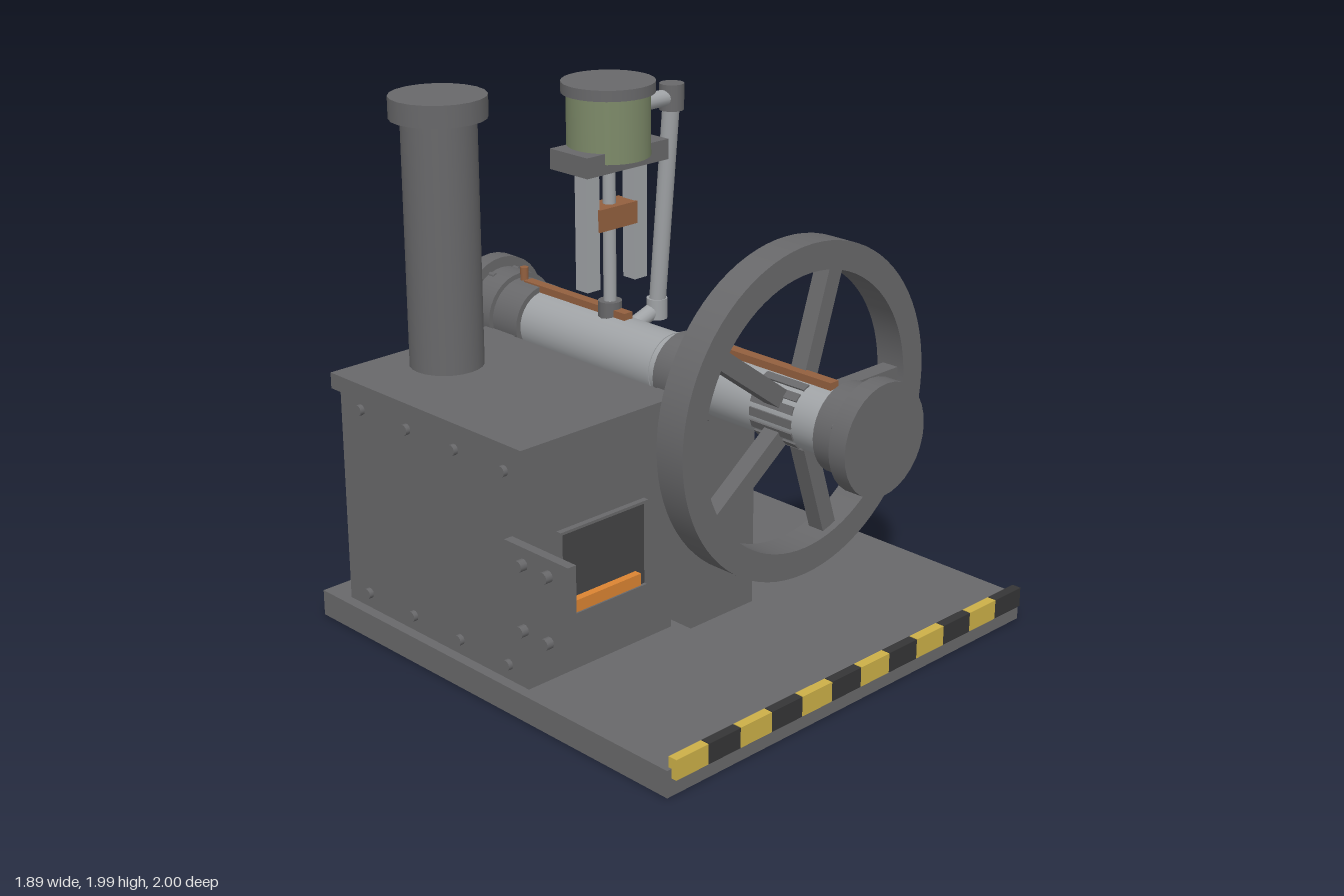
import * as THREE from 'three';

const mat = (name, color, side = THREE.FrontSide) => {
  const m = new THREE.MeshStandardMaterial({ color, side });
  m.name = name;
  return m;
};

export function createModel() {
  const iron = mat('iron', 0x68686a);
  const steel = mat('steel', 0xa0a3a6);
  const copper = mat('copper', 0x93603f);
  const green = mat('greenPaint', 0x7d8a69);
  const yellow = mat('yellowPaint', 0xccb048);
  const black = mat('blackPaint', 0x353536);
  const soot = mat('soot', 0x444445);
  const ember = mat('ember', 0xdb8432);

  const model = new THREE.Group();
  model.name = 'steamEngine';
  const add = (name, geo, material) => {
    const m = new THREE.Mesh(geo, material);
    m.name = name;
    model.add(m);
    return m;
  };
  // Box given by its minimum and maximum on each axis
  const box = (name, material, x0, x1, y0, y1, z0, z1) => {
    const m = add(name, new THREE.BoxGeometry(x1 - x0, y1 - y0, z1 - z0), material);
    m.position.set((x0 + x1) / 2, (y0 + y1) / 2, (z0 + z1) / 2);
    return m;
  };
  // Cylinder between two points
  const rod = (name, material, a, b, r, sides = 32) => {
    const p = new THREE.Vector3(...a), q = new THREE.Vector3(...b);
    const m = add(name, new THREE.CylinderGeometry(r, r, p.distanceTo(q), sides), material);
    m.position.copy(p).add(q).multiplyScalar(0.5);
    m.quaternion.setFromUnitVectors(new THREE.Vector3(0, 1, 0), q.sub(p).normalize());
    return m;
  };

  const cx = 0.028, cy = 1;                       // shaft axis
  const along = (name, material, z0, z1, r) => rod(name, material, [cx, cy, z0], [cx, cy, z1], r);

  // Base plate with hazard strip
  box('basePlate', iron, -0.89, 0.94, 0, 0.1, -0.92, 0.915);
  for (let i = 0; i < 12; i++) {
    const x = -0.87 + i * 0.1495;
    box('hazardBlock', i % 2 ? black : yellow, x, x + 0.146, 0.065, 0.14, 0.9, 0.936);
  }

  // Boiler box, lid and rivets
  box('boilerBody', iron, -0.85, -0.17, 0.1, 0.94, -0.8, 0.2);
  box('boilerLid', iron, -0.875, -0.152, 0.93, 0.99, -0.82, 0.215);
  for (const y of [0.16, 0.88])
    for (const z of [-0.68, -0.42, -0.16, 0.1])
      rod('rivet', iron, [-0.84, y, z], [-0.868, y, z], 0.02, 10);

  // Fire opening, embers and open door
  box('fireOpening', soot, -0.71, -0.307, 0.32, 0.645, 0.2, 0.209);
  for (const [x0, x1, y0, y1] of [[-0.713, -0.705, 0.32, 0.645], [-0.312, -0.304, 0.32, 0.645],
    [-0.713, -0.304, 0.637, 0.647], [-0.713, -0.304, 0.317, 0.325]])
    box('openingFrame', iron, x0, x1, y0, y1, 0.2, 0.222);
  box('embers', ember, -0.67, -0.355, 0.34, 0.385, 0.2, 0.238);
  box('fireDoor', iron, -0.925, -0.89, 0.325, 0.68, 0.18, 0.495);
  for (const y of [0.38, 0.62])
    for (const z of [0.275, 0.4])
      rod('doorStud', iron, [-0.92, y, z], [-0.953, y, z], 0.021, 10);

  // Chimney
  rod('chimney', iron, [-0.515, 0.98, -0.605], [-0.515, 1.92, -0.605], 0.136, 24);
  rod('chimneyCap', iron, [-0.515, 1.9, -0.605], [-0.515, 1.98, -0.605], 0.175, 20);

  // Shaft, bearings and pedestals
  along('shaft', steel, -0.95, 0.95, 0.12);
  along('shaftSeam', steel, -0.005, 0.005, 0.123);
  along('frontBearing', iron, 0.047, 0.27, 0.141);
  along('rearBearing', iron, -0.84, -0.69, 0.141);
  box('frontPedestal', iron, -0.132, 0.188, 0.1, 0.9, 0.06, 0.262);
  box('rearPedestal', iron, -0.132, 0.188, 0.1, 0.9, -0.9, -0.7);
  for (const [z0, z1] of [[0.07, 0.255], [-0.83, -0.705]])
    box('bearingBlock', iron, cx - 0.145, cx + 0.145, 0.87, 0.97, z0, z1);
  for (const s of [-1, 1]) {
    along('endCollar', iron, s * 0.825, s * 0.94, 0.16);
    along('endDisc', iron, s * 0.93, s, 0.2);
    for (let i = 0; i < 8; i++) {
      const a = (i + 0.5) * Math.PI / 4;
      const x = cx + Math.cos(a) * 0.155, y = cy + Math.sin(a) * 0.155;
      rod('collarBolt', iron, [x, y, s * 0.9], [x, y, s * 0.935], 0.011, 8);
    }
  }

  // Flywheel rim, spokes and ribbed hub
  const ring = new THREE.Shape().absarc(0, 0, 0.6, 0, Math.PI * 2);
  ring.holes.push(new THREE.Path().absarc(0, 0, 0.5, 0, Math.PI * 2, true));
  // Smooth the curved walls while the two faces stay flat
  const rimGeo = new THREE.ExtrudeGeometry(ring, { depth: 0.12, bevelEnabled: false, curveSegments: 40 });
  const pos = rimGeo.attributes.position, nor = rimGeo.attributes.normal;
  for (let i = 0; i < pos.count; i++) {
    if (Math.abs(nor.getZ(i)) > 0.5) continue;
    const r = Math.hypot(pos.getX(i), pos.getY(i)), s = r > 0.55 ? 1 : -1;
    nor.setXYZ(i, s * pos.getX(i) / r, s * pos.getY(i) / r, 0);
  }
  add('flywheelRim', rimGeo, iron).position.set(cx, cy, 0.54);
  for (let i = 0; i < 5; i++) {
    const a = i * Math.PI * 0.4;
    const spoke = add('flywheelSpoke', new THREE.BoxGeometry(0.41, 0.066, 0.066), iron);
    spoke.position.set(cx + Math.cos(a) * 0.305, cy + Math.sin(a) * 0.305, 0.6);
    spoke.rotation.z = a;
  }
  for (let i = 0; i < 16; i++) {
    const a = i * Math.PI / 8;
    const rib = add('hubRib', new THREE.BoxGeometry(0.02, 0.03, 0.19), iron);
    rib.position.set(cx + Math.cos(a) * 0.115, cy + Math.sin(a) * 0.115, 0.597);
    rib.rotation.z = a;
  }

  // Copper oil lines and pins along the shaft
  box('frontOilLine', copper, 0.008, 0.048, 1.11, 1.145, 0.22, 0.775);
  box('rearOilLine', copper, 0.008, 0.048, 1.11, 1.145, -0.78, -0.225);
  for (const z of [0.16, -0.8])
    rod('oilPin', copper, [cx, 1.12, z], [cx, 1.19, z], 0.016, 12);

  // Steam cylinder on its mounting plate
  const cz = -0.322;
  rod('steamCylinder', green, [cx, 1.72, cz], [cx, 1.96, cz], 0.152);
  rod('cylinderCap', iron, [cx, 1.95, cz], [cx, 1.99, cz], 0.17);
  box('mountingPlate', iron, -0.17, 0.227, 1.685, 1.76, -0.415, -0.22);

  // Guides, piston rod, crosshead and crank nut
  for (const s of [-1, 1])
    box('guideBar', steel, cx + s * 0.117 - 0.031, cx + s * 0.117 + 0.031, 1.24, 1.69, -0.342, -0.28);
  rod('pistonRod', steel, [cx, 1.1, cz], [cx, 1.7, cz], 0.024, 16);
  box('crosshead', copper, -0.065, 0.12, 1.457, 1.54, -0.372, -0.27);
  rod('crankNut', iron, [cx, 1.09, cz], [cx, 1.172, cz], 0.045, 12);

  // Valve linkage
  const top = [0.343, 1.88, cz], low = [0.343, 1.05, -0.4];
  rod('valveArm', steel, [0.15, 1.88, cz], top, 0.031, 16);
  rod('valveJoint', iron, [0.343, 1.832, cz], [0.343, 1.93, cz], 0.046, 16);
  rod('valveRod', steel, top, low, 0.032, 16);
  rod('lowerJoint', steel, [0.343, 1.01, -0.4], [0.343, 1.09, -0.4], 0.04, 16);
  rod('rockerRod', steel, low, [-0.15, 0.8, -0.5], 0.031, 16);

  return model;
}
